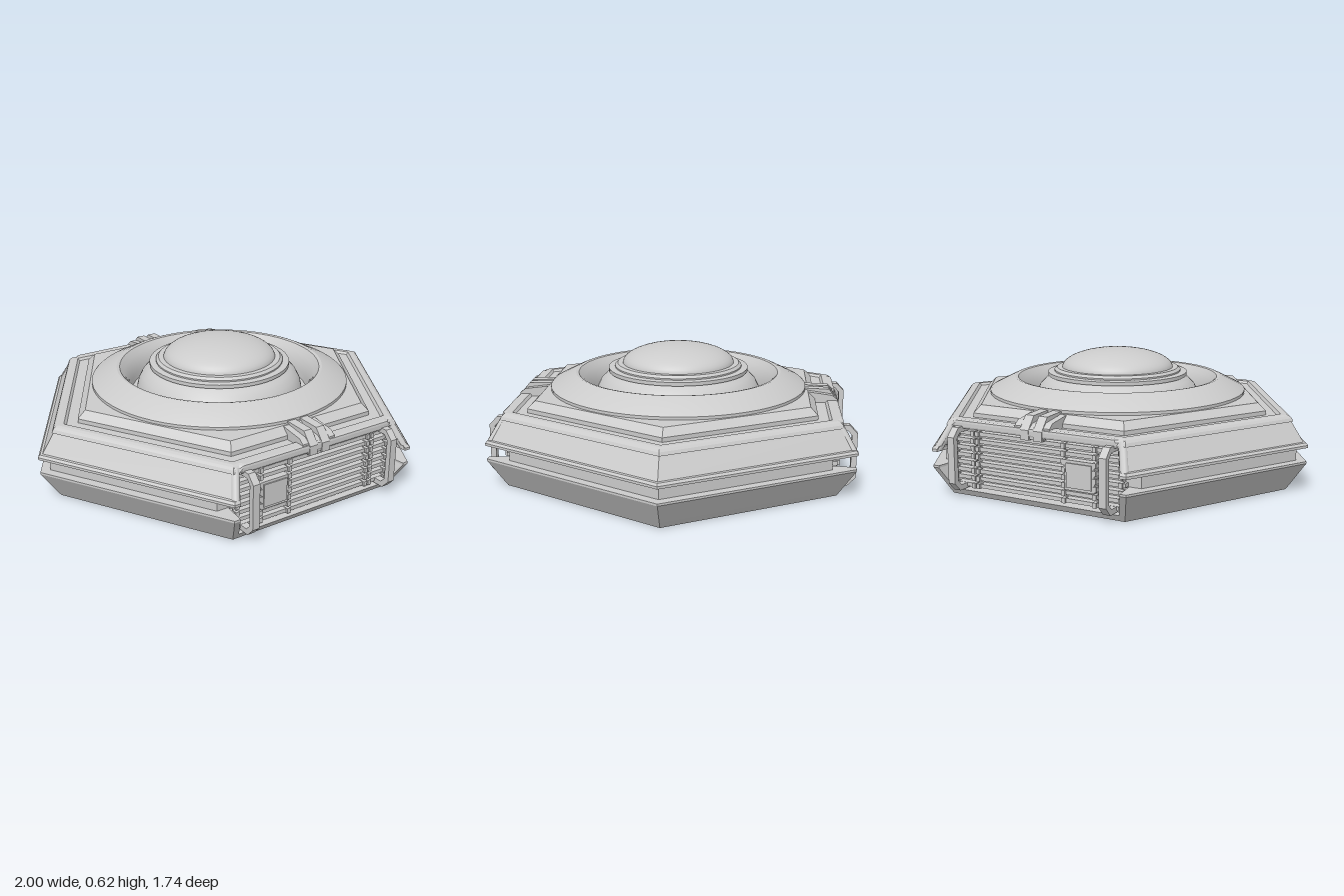
import * as THREE from 'three';
import { toCreasedNormals } from 'three/addons/utils/BufferGeometryUtils.js';

const material = new THREE.MeshStandardMaterial({ color: 0xcccccc });
const flat = new THREE.MeshStandardMaterial({ color: 0xcccccc, flatShading: true });
const H = Math.sqrt(3) / 2;

function add(parent, name, geometry, mat = flat) {
  const mesh = new THREE.Mesh(geometry, mat);
  mesh.name = name;
  parent.add(mesh);
  return mesh;
}

function box(parent, name, w, h, d, x, y, z) {
  add(parent, name, new THREE.BoxGeometry(w, h, d)).position.set(x, y, z);
}

// Mirrors a quarter outline (starting on +x, running towards +z) to all four quadrants
function fourfold(quarter) {
  const half = [...quarter, ...quarter.slice(1).reverse().map(([x, z]) => [-x, z])];
  half.push([-quarter[0][0], 0]);
  const back = [...half].reverse().slice(1, -1).map(([x, z]) => [x, -z]);
  return [...half, ...back];
}

// Hexagon of corner radius r whose front and back sides are cut to depth z0 between the tips
const notchedHex = (r, z0) => fourfold([[r, 0], [r / 2, r * H], [r / 2 - 0.03, r * H], [r / 2 - 0.045, z0]]);

// Skin and caps over outlines [y, points]
function loft(layers) {
  const v = [];
  const put = (y, ...pts) => pts.forEach(([x, z]) => v.push(x, y, z));
  for (let k = 0; k + 1 < layers.length; k++) {
    const [y0, a] = layers[k], [y1, b] = layers[k + 1];
    for (let i = 0; i < a.length; i++) {
      const j = (i + 1) % a.length;
      put(y0, a[i]); put(y1, b[i]); put(y0, a[j]);
      put(y0, a[j]); put(y1, b[i]); put(y1, b[j]);
    }
  }
  for (const [layer, up] of [[layers[0], false], [layers[layers.length - 1], true]]) {
    const pts = layer[1].map(([x, z]) => new THREE.Vector2(x, z));
    for (const f of THREE.ShapeUtils.triangulateShape(pts, [])) {
      const down = THREE.ShapeUtils.area(f.map(i => pts[i])) > 0;
      const tri = f.map(i => layer[1][i]);
      put(layer[0], ...(down === up ? tri.reverse() : tri));
    }
  }
  const g = new THREE.BufferGeometry();
  g.setAttribute('position', new THREE.Float32BufferAttribute(v, 3));
  g.computeVertexNormals();
  return g;
}

const hull = rows => loft(rows.map(([y, r, z0]) => [y, notchedHex(r, z0)]));

function lathe(parent, name, profile) {
  const pts = profile.map(p => new THREE.Vector2(...p));
  add(parent, name, toCreasedNormals(new THREE.LatheGeometry(pts, 64), 0.45), material);
}

// Extrudes a [z, y] outline to a width along x, centred on x
function sidePlate(parent, name, outline, width, x, s) {
  const shape = new THREE.Shape(outline.map(([z, y]) => new THREE.Vector2(z * s, y)));
  const g = new THREE.ExtrudeGeometry(shape, { depth: width, bevelEnabled: false });
  g.translate(0, 0, -width / 2).rotateY(-Math.PI / 2);
  add(parent, name, g).position.x = x;
}

// Round beam between two points
function beam(parent, name, a, b, radius) {
  const p = new THREE.Vector3(...a), q = new THREE.Vector3(...b);
  const mesh = add(parent, name, new THREE.CylinderGeometry(radius, radius, p.distanceTo(q), 10), material);
  mesh.position.copy(p).add(q).multiplyScalar(0.5);
  mesh.quaternion.setFromUnitVectors(new THREE.Vector3(0, 1, 0), q.sub(p).normalize());
}

// Louvred bay with its brackets and top clamp; s = 1 front, -1 back
function createBay(s) {
  const bay = new THREE.Group();
  bay.name = s > 0 ? 'frontBay' : 'backBay';

  const rows = 8, pitch = 0.035, y0 = 0.052;
  for (let i = 0; i < rows; i++) {
    const y = y0 + i * pitch;
    box(bay, 'louvreSlat', 0.9, 0.018, 0.045, 0, y, s * 0.755);
    for (const x of [-0.43, -0.305, -0.15, 0.305, 0.33, 0.43])
      box(bay, 'slatClip', 0.018, 0.024, 0.03, x, y, s * 0.773);
  }
  box(bay, 'accessPanelFrame', 0.15, 0.135, 0.04, -0.23, 0.17, s * 0.765);
  box(bay, 'accessPanel', 0.125, 0.11, 0.04, -0.23, 0.17, s * 0.771);

  const bracket = [
    [0.74, 0.035], [0.83, 0.035], [0.868, 0.075], [0.868, 0.29], [0.83, 0.33], [0.74, 0.33],
    [0.74, 0.305], [0.82, 0.305], [0.842, 0.282], [0.842, 0.083], [0.82, 0.06], [0.74, 0.06],
  ];
  for (const x of [-0.39, 0.39]) sidePlate(bay, 'guardBracket', bracket, 0.036, x, s);

  // Clamp: low saddle with two hooked prongs
  const saddle = [[0.62, 0.34], [0.795, 0.32], [0.795, 0.365], [0.77, 0.385], [0.62, 0.405]];
  const prong = [[0.62, 0.35], [0.74, 0.35], [0.77, 0.305], [0.803, 0.305], [0.803, 0.35], [0.755, 0.408], [0.62, 0.412]];
  for (const x of [-0.074, 0.074]) sidePlate(bay, 'clampCheek', saddle, 0.032, x, s);
  sidePlate(bay, 'clampSaddle', saddle.map(([z, y]) => [z, y - 0.01]), 0.12, 0, s);
  for (const x of [-0.033, 0.036]) sidePlate(bay, 'clampProng', prong, 0.044, x, s);
  return bay;
}

export function createModel() {
  const model = new THREE.Group();
  model.name = 'hexagonalDevice';

  // Hexagonal body: lower tray, recessed band, upper shell with inset side panels
  add(model, 'lowerHull', hull([
    [0, 0.9, 0.779], [0.03, 0.921, 0.797], [0.03, 0.921, 0.74], [0.137, 0.995, 0.74], [0.147, 0.995, 0.74],
  ]));
  const xCut = 0.945 - 0.75 / Math.sqrt(3);
  const band = fourfold([[0.945, 0], [xCut, 0.75], [0.44, 0.75], [0.43, 0.74]]);
  add(model, 'recessedBand', loft([[0.14, band], [0.22, band]]));
  add(model, 'upperHull', hull([
    [0.213, 1, 0.74], [0.225, 1, 0.74], [0.236, 0.99, 0.74], [0.238, 0.977, 0.74],
    [0.32, 0.922, 0.74], [0.32, 0.922, 0.797], [0.328, 0.917, 0.8], [0.33, 0.925, 0.8],
    [0.345, 0.917, 0.8], [0.355, 0.906, 0.798], [0.36, 0.89, 0.79],
    [0.36, 0.862, 0.746], [0.348, 0.85, 0.736],
  ]));

  // Rounded ribs closing the ends of the sloped side panels
  for (const sx of [-1, 1]) for (const sz of [-1, 1])
    beam(model, 'endRib', [sx * 0.482, 0.22, sz * 0.845], [sx * 0.437, 0.342, sz * 0.775], 0.02);

  // Raised hexagonal tier with an opening for the well
  const tier = new THREE.Shape(Array.from({ length: 6 }, (_, i) =>
    new THREE.Vector2(0.75 * Math.cos(i * Math.PI / 3), 0.75 * Math.sin(i * Math.PI / 3))));
  tier.holes.push(new THREE.Path().absarc(0, 0, 0.57, 0, Math.PI * 2, true));
  const tierGeometry = new THREE.ExtrudeGeometry(tier, {
    depth: 0.02, bevelThickness: 0.035, bevelSize: 0.035, bevelSegments: 1, curveSegments: 32,
  });
  tierGeometry.rotateX(-Math.PI / 2).translate(0, 0.348, 0);
  add(model, 'raisedTier', tierGeometry);

  // Round collar sloping down into the well
  lathe(model, 'wellCollar', [
    [0.64, 0.38], [0.64, 0.417], [0.632, 0.424], [0.53, 0.475], [0.515, 0.481], [0.5, 0.478],
    [0.475, 0.45], [0.455, 0.415], [0.445, 0.38], [0.44, 0.345],
  ]);

  // Central pedestal, stepped rings and dome
  lathe(model, 'pedestal', [[0.418, 0.34], [0.416, 0.365], [0.407, 0.4], [0.39, 0.433], [0.362, 0.462], [0.325, 0.484]]);
  lathe(model, 'domeRings', [
    [0.3, 0.482], [0.35, 0.482], [0.35, 0.5], [0.335, 0.503], [0.318, 0.503],
    [0.318, 0.51], [0.305, 0.522], [0.27, 0.522],
  ]);
  const dome = Array.from({ length: 15 }, (_, i) => {
    const t = (i / 14) * Math.PI / 2;
    return [0.28 * Math.cos(t), 0.518 + 0.097 * Math.sin(t)];
  });
  lathe(model, 'dome', dome);

  model.add(createBay(1), createBay(-1));
  return model;
}
